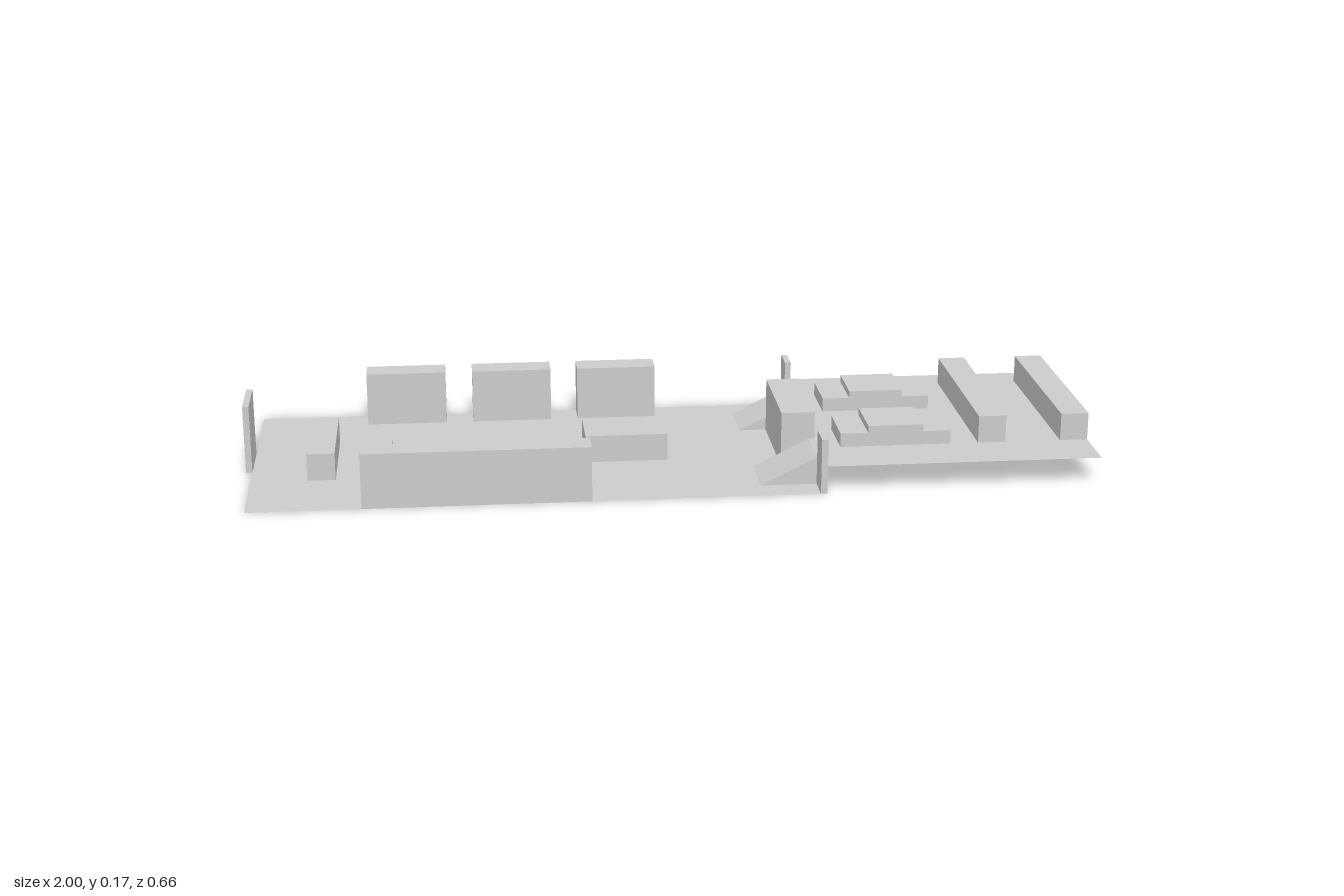
import * as THREE from 'three';

const material = new THREE.MeshStandardMaterial({ color: 0xcccccc, flatShading: true, side: THREE.DoubleSide });
const STEP = 0.066; // height of the raised floor, and the basic grid unit
const HALF = 0.33; // half depth of the room

export function createModel() {
  const group = new THREE.Group();

  const add = (name, geometry) => {
    const mesh = new THREE.Mesh(geometry, material);
    mesh.name = name;
    group.add(mesh);
    return mesh;
  };
  // box given by its limits on each axis
  const box = (name, x0, x1, y0, y1, z0, z1) =>
    add(name, new THREE.BoxGeometry(x1 - x0, y1 - y0, z1 - z0))
      .position.set((x0 + x1) / 2, (y0 + y1) / 2, (z0 + z1) / 2);
  const floor = (name, x0, x1, y) =>
    add(name, new THREE.PlaneGeometry(x1 - x0, 2 * HALF).rotateX(-Math.PI / 2))
      .position.set((x0 + x1) / 2, y, 0);

  // two floor levels and the riser between them
  floor('lowerFloor', -0.985, 0.352, 0);
  floor('upperFloor', 0.338, 1, STEP);
  box('riser', 0.338, 0.352, 0, STEP - 0.001, -HALF, HALF);

  // entrance door
  box('door', -1, -0.985, 0, 0.166, -0.066, 0.066);

  // lower level furniture
  box('counter', -0.852, -0.786, 0, STEP, -0.133, 0.132);
  box('stool', -0.72, -0.654, 0, 0.036, -0.066, 0);
  box('frontCabinet', -0.72, -0.193, 0, 0.132, 0.264, HALF);
  for (const x of [-0.72, -0.456, -0.192]) box('backCabinet', x, x + 0.197, 0, 0.132, -HALF, -0.264);
  box('sideTable', -0.523, -0.325, 0, STEP, 0, 0.132);
  box('centreTable', -0.192, 0.006, 0, STEP, -0.066, 0.066);

  // divider between the levels, with a ramp and a post on each side
  box('divider', 0.272, 0.352, 0, 0.132, -0.132, 0.132);
  const slope = new THREE.Shape([
    new THREE.Vector2(0.206, 0), new THREE.Vector2(0.338, 0), new THREE.Vector2(0.338, STEP),
  ]);
  for (const side of [-1, 1]) {
    add('ramp', new THREE.ExtrudeGeometry(slope, { depth: 0.132, bevelEnabled: false }))
      .position.z = side * 0.198 - 0.066;
    const z = side * 0.297;
    box('post', 0.338, 0.353, 0, 0.132, z - 0.033, z + 0.033);

    // dining set: a table with a seat along each end
    const d = side * 0.132;
    box('diningTable', 0.47, 0.602, STEP, 0.116, d - 0.066, d + 0.066);
    for (const x of [0.404, 0.602]) box('diningSeat', x, x + 0.066, STEP, 0.099, d - 0.066, d + 0.066);
  }

  // long counters at the far end of the upper level
  for (const x of [0.735, 0.934]) box('longCounter', x, x + 0.066, STEP, 0.132, -0.265, 0.199);

  return group;
}
